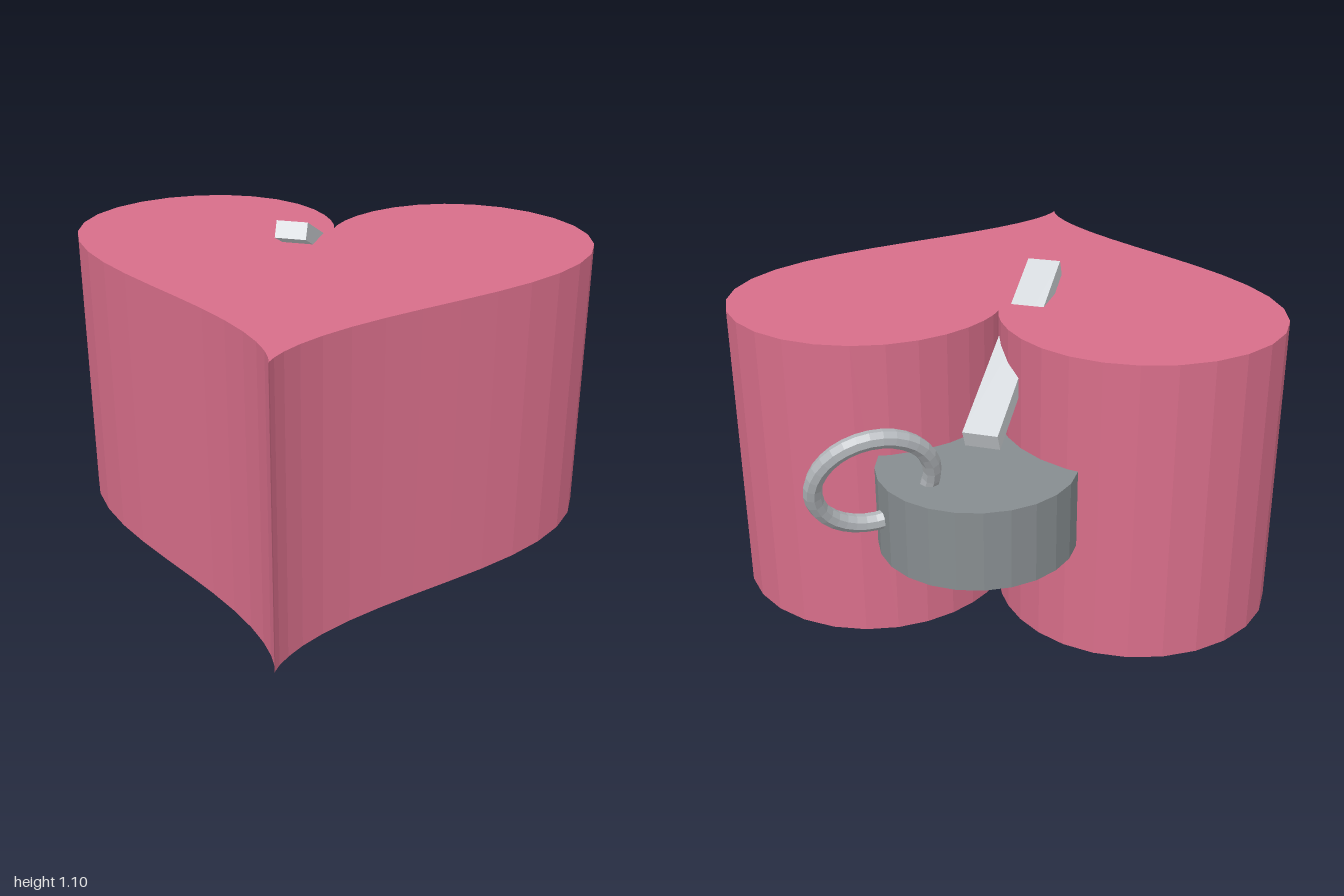
import * as THREE from 'three';

const material = (name, color) => {
  const m = new THREE.MeshStandardMaterial({ color, flatShading: true });
  m.name = name;
  return m;
};

export function createModel() {
  const pink = material('rose pink', 0xd86e8a);
  const darkSteel = material('dark steel', 0x878d90);
  const lightSteel = material('light steel', 0xd4d8dc);
  const ringSteel = material('ring steel', 0xb4b8bc);

  const group = new THREE.Group();
  const add = (name, geometry, mat, x, y, z) => {
    const mesh = new THREE.Mesh(geometry, mat);
    mesh.name = name;
    mesh.position.set(x, y, z);
    group.add(mesh);
    return mesh;
  };

  // Heart prism: classic sine/cosine heart curve, tip towards +z
  const s = 0.0572, steps = 60, outline = [];
  for (let i = 0; i < steps; i++) {
    const t = (i / steps) * Math.PI * 2;
    const h = 13 * Math.cos(t) - 5 * Math.cos(2 * t) - 2 * Math.cos(3 * t) - Math.cos(4 * t);
    outline.push(new THREE.Vector2(16 * s * Math.sin(t) ** 3, (h + 17) * s - 1));
  }
  const heartGeometry = new THREE.ExtrudeGeometry(new THREE.Shape(outline), { depth: 1, bevelEnabled: false });
  heartGeometry.rotateX(-Math.PI / 2);
  add('heartBody', heartGeometry, pink, 0, 0, 0);

  // Round disc set into the cleft at the back
  add('disc', new THREE.CylinderGeometry(0.31, 0.31, 0.255, 24), darkSteel, 0, 0.5075, -0.63);

  // Slanted bar running through the heart
  const bar = add('bar', new THREE.BoxGeometry(0.11, 0.06, 0.775), lightSteel, -0.067, 0.903, -0.334);
  bar.rotation.set(-0.44, -0.119, 0, 'YXZ');

  // Ring hooked through the disc
  const ring = add('ring', new THREE.TorusGeometry(0.176, 0.028, 8, 32), ringSteel, 0.255, 0.673, -0.87);
  ring.quaternion.setFromUnitVectors(
    new THREE.Vector3(0, 0, 1),
    new THREE.Vector3(0.45, 0.35, 0.815).normalize()
  );

  return group;
}
